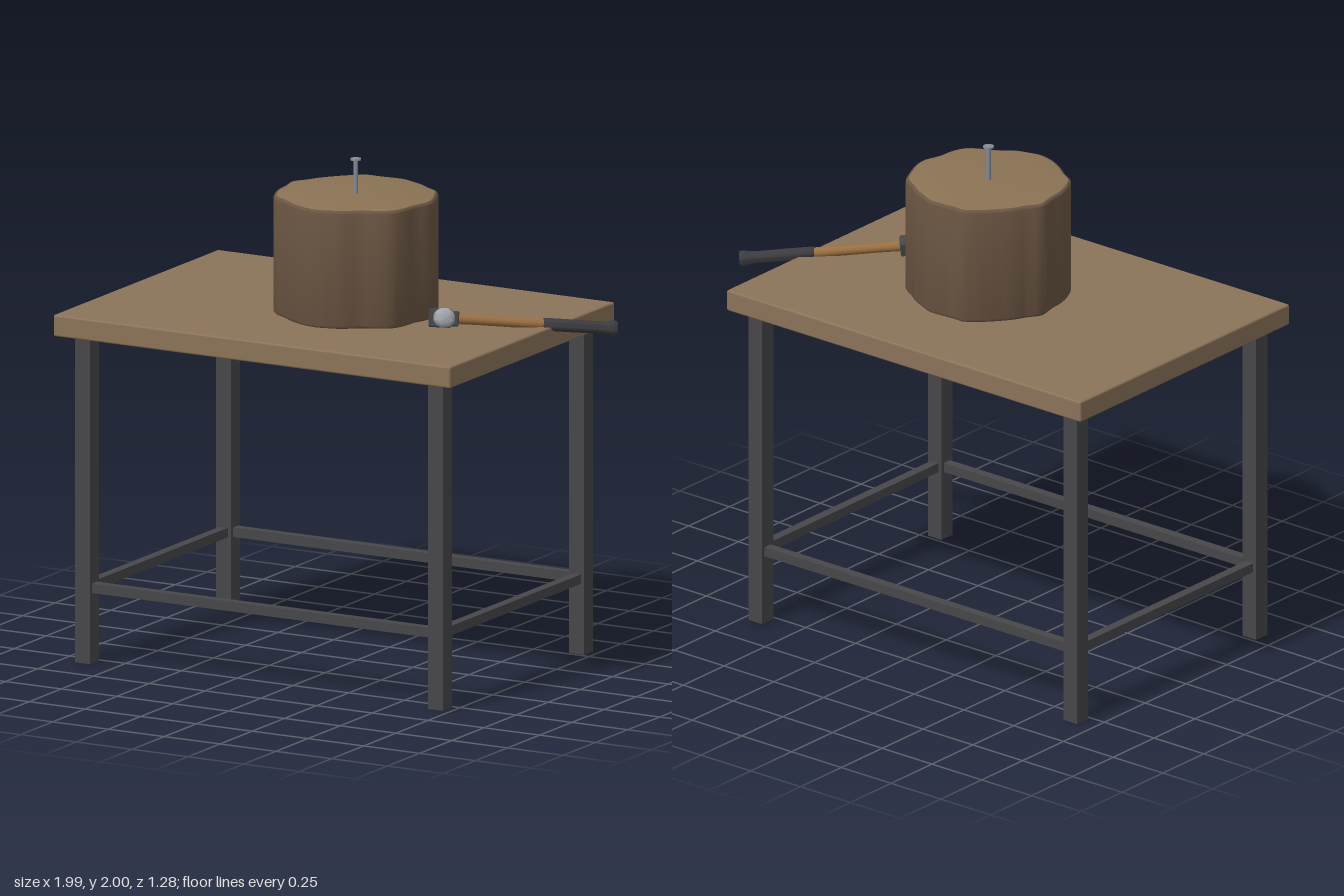
import * as THREE from 'three';
import { RoundedBoxGeometry } from 'three/addons/geometries/RoundedBoxGeometry.js';
import { toCreasedNormals } from 'three/addons/utils/BufferGeometryUtils.js';

const mat = (name, color, flatShading = false) => {
  const m = new THREE.MeshStandardMaterial({ color, flatShading });
  m.name = name;
  return m;
};

export function createModel() {
  const tableWood = mat('table wood', 0x8b7359);
  const bark = mat('bark', 0x6a5542);
  const cutWood = mat('cut wood', 0x8b7355);
  const iron = mat('dark iron', 0x47474a);
  const steel = mat('steel', 0xa3a7ad);
  const nailSteel = mat('nail steel', 0x858b94);
  const handleWood = mat('handle wood', 0x9a6f42);
  const rubber = mat('grip rubber', 0x3c3c40);

  const model = new THREE.Group();
  model.name = 'workTable';
  const add = (parent, name, geometry, material, x = 0, y = 0, z = 0) => {
    const mesh = new THREE.Mesh(geometry, material);
    mesh.name = name;
    mesh.position.set(x, y, z);
    parent.add(mesh);
    return mesh;
  };

  // Table: top, four square legs and a ring of thin rails
  const cx = -0.105, legX = 0.791, legZ = 0.548, legW = 0.068, railY = 0.3, railW = 0.038;
  const table = new THREE.Group();
  table.name = 'table';
  table.position.x = cx;
  model.add(table);
  add(table, 'tableTop', new RoundedBoxGeometry(1.78, 0.086, 1.28, 2, 0.008), tableWood, 0, 1.347, 0);
  for (const sx of [-1, 1]) {
    for (const sz of [-1, 1]) {
      add(table, 'leg', new THREE.BoxGeometry(legW, 1.305, legW), iron, sx * legX, 0.6525, sz * legZ);
    }
    add(table, 'sideRail', new THREE.BoxGeometry(railW, railW, 2 * legZ - legW), iron, sx * legX, railY, 0);
    add(table, 'longRail', new THREE.BoxGeometry(2 * legX - legW, railW, railW), iron, 0, railY, sx * legZ);
  }

  // Stump: irregular outline (x, z) extruded upwards with a small rounded rim
  const outline = [
    [-0.13, -0.31], [-0.08, -0.31], [0.03, -0.317], [0.085, -0.295], [0.14, -0.27], [0.19, -0.235],
    [0.245, -0.2], [0.28, -0.135], [0.312, -0.055], [0.316, 0], [0.297, 0.065], [0.29, 0.135],
    [0.268, 0.19], [0.22, 0.225], [0.165, 0.25], [0.095, 0.3], [0.04, 0.317], [-0.008, 0.326],
    [-0.075, 0.312], [-0.14, 0.28], [-0.2, 0.237], [-0.248, 0.21], [-0.28, 0.165], [-0.31, 0.085],
    [-0.317, 0.02], [-0.331, -0.065], [-0.3, -0.115], [-0.275, -0.165], [-0.237, -0.215], [-0.193, -0.263],
  ];
  const curve = new THREE.CatmullRomCurve3(outline.map(([x, z]) => new THREE.Vector3(x, -z, 0)), true);
  const ring = curve.getPoints(90).slice(0, -1).map(p => new THREE.Vector2(p.x, p.y));
  const bevel = 0.012;
  const stumpGeo = new THREE.ExtrudeGeometry(new THREE.Shape(ring), {
    depth: 0.47 - 2 * bevel, bevelEnabled: true, bevelThickness: bevel, bevelSize: bevel,
    bevelOffset: -bevel, bevelSegments: 3, steps: 1,
  });
  stumpGeo.rotateX(-Math.PI / 2);
  add(model, 'stump', toCreasedNormals(stumpGeo, 0.6), [cutWood, bark], 0, 1.39 + bevel, 0);

  // Nail standing in the stump
  const nail = new THREE.Group();
  nail.name = 'nail';
  nail.position.set(-0.007, 0, 0);
  model.add(nail);
  add(nail, 'nailShaft', new THREE.CylinderGeometry(0.009, 0.009, 0.16, 16), nailSteel, 0, 1.915, 0);
  add(nail, 'nailHead', new THREE.CylinderGeometry(0.021, 0.021, 0.007, 20), nailSteel, 0, 1.9965, 0);

  // Hammer: local x runs down the handle, local z towards the striking face
  const u = new THREE.Vector3(0.785, -0.095, -0.615).normalize();
  const v = new THREE.Vector3(0.195, 0.07, 0.232);
  v.addScaledVector(u, -v.dot(u)).normalize();
  const w = new THREE.Vector3().crossVectors(v, u);
  const hammer = new THREE.Group();
  hammer.name = 'hammer';
  hammer.quaternion.setFromRotationMatrix(new THREE.Matrix4().makeBasis(u, w, v));
  hammer.position.set(0.43, 1.436, 0.102);
  model.add(hammer);

  add(hammer, 'hammerBlock', new RoundedBoxGeometry(0.074, 0.074, 0.105, 2, 0.006), iron);
  add(hammer, 'hammerCollar', new RoundedBoxGeometry(0.04, 0.06, 0.066, 2, 0.006), iron, 0.05, 0, 0);

  // Striking face with a domed end, and a tapering peen
  const faceProfile = [[0, 0.04], [0.03, 0.04], [0.032, 0.06], [0.039, 0.075], [0.039, 0.125],
    [0.035, 0.134], [0.022, 0.141], [0, 0.144]].map(p => new THREE.Vector2(...p));
  const faceGeo = toCreasedNormals(new THREE.LatheGeometry(faceProfile, 28).rotateX(Math.PI / 2), 0.7);
  add(hammer, 'strikingFace', faceGeo, steel);
  const peenGeo = new THREE.CylinderGeometry(0.005, 0.036, 0.13, 8).toNonIndexed();
  peenGeo.computeVertexNormals();
  add(hammer, 'peen', peenGeo.rotateX(-Math.PI / 2), steel, 0, 0, -0.112);

  // Handle and flared grip
  const alongHandle = points => new THREE.LatheGeometry(
    points.map(p => new THREE.Vector2(...p)), 24).rotateZ(-Math.PI / 2);
  add(hammer, 'handle', alongHandle([[0.021, 0.03], [0.019, 0.15], [0.02, 0.3], [0.021, 0.43]]), handleWood);
  const gripGeo = alongHandle([[0, 0.405], [0.022, 0.405], [0.025, 0.412], [0.025, 0.52], [0.024, 0.62],
    [0.026, 0.66], [0.031, 0.675], [0.031, 0.69], [0.027, 0.697], [0, 0.698]]);
  add(hammer, 'grip', toCreasedNormals(gripGeo, 0.8), rubber);

  return model;
}
